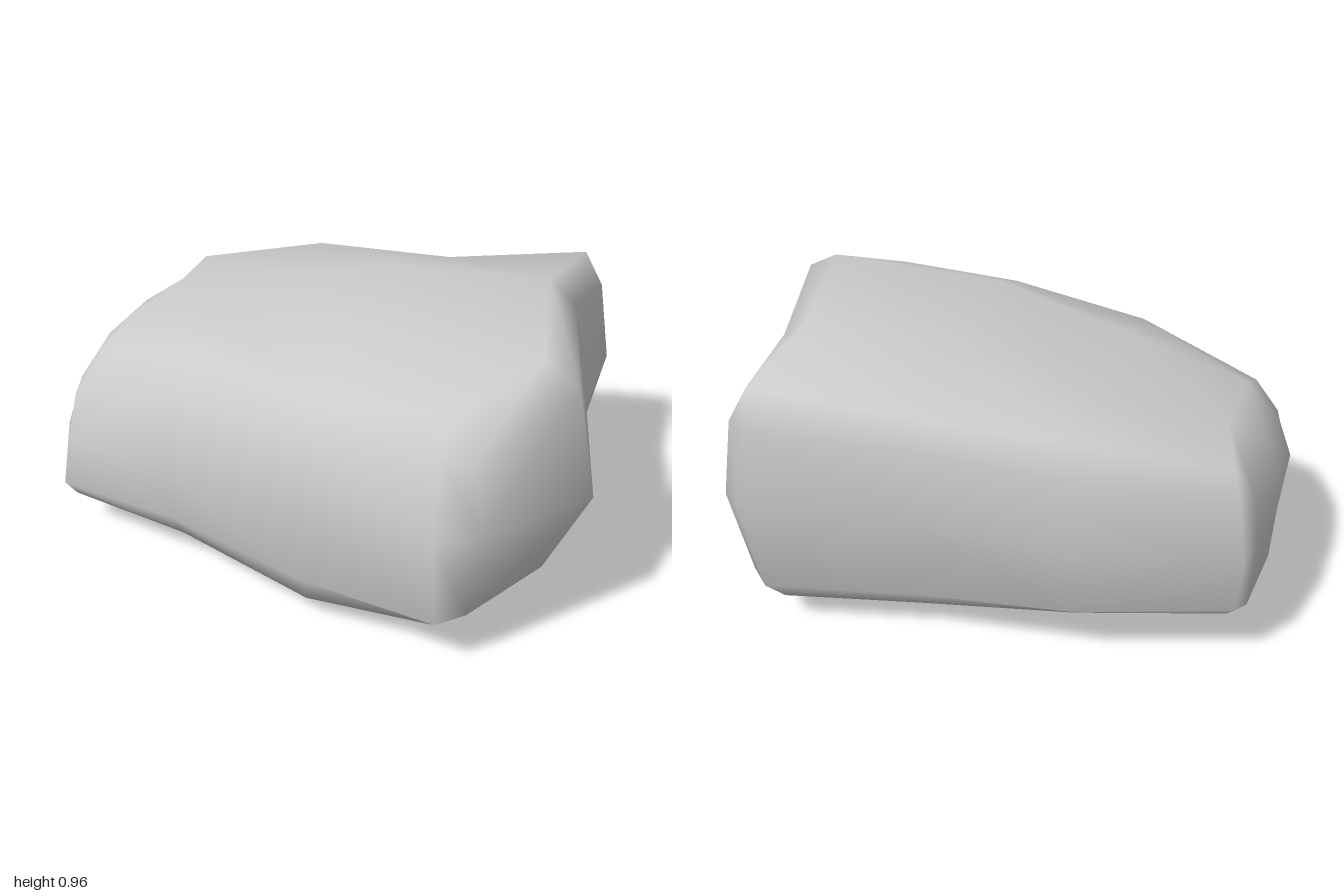
import * as THREE from 'three';

// Cross-sections along the stone, as [z, y] points.
// Order: up the front, over the top, down the back, along the underside.
// shift moves single points of a section in x.
const SECTIONS = [
  {
    x: 0.64,
    points: [
      [0.745, 0.2], [0.8, 0.53], [0.69, 0.77],
      [0.59, 0.84], [0.32, 0.955], [-0.27, 0.965], [-0.69, 0.915],
      [-0.77, 0.8], [-0.8, 0.53], [-0.76, 0.19],
      [-0.67, 0.085], [-0.26, 0.05], [0.3, 0.07], [0.67, 0.13],
    ],
    shift: { 2: -0.03, 3: -0.02, 4: 0.16, 6: 0.02, 8: 0.04, 10: -0.02, 11: -0.04, 12: 0.01, 13: -0.05 },
  },
  {
    x: 0.15,
    points: [
      [0.7, 0.18], [0.74, 0.51], [0.67, 0.72],
      [0.6, 0.81], [0.3, 0.94], [-0.24, 0.935], [-0.6, 0.84],
      [-0.665, 0.76], [-0.69, 0.51], [-0.66, 0.19],
      [-0.59, 0.1], [-0.23, 0], [0.28, 0.03], [0.66, 0.08],
    ],
    shift: {},
  },
  {
    x: -0.39,
    points: [
      [0.61, 0.21], [0.65, 0.45], [0.57, 0.67],
      [0.46, 0.78], [0.26, 0.81], [-0.23, 0.82], [-0.57, 0.82],
      [-0.635, 0.72], [-0.66, 0.47], [-0.63, 0.22],
      [-0.56, 0.16], [-0.22, 0.08], [0.25, 0.08], [0.56, 0.12],
    ],
    shift: {},
  },
  {
    x: -0.88,
    points: [
      [0.58, 0.21], [0.53, 0.36], [0.46, 0.52],
      [0.34, 0.65], [0.18, 0.72], [-0.17, 0.745], [-0.44, 0.73],
      [-0.48, 0.63], [-0.5, 0.44], [-0.48, 0.23],
      [-0.43, 0.17], [-0.17, 0.12], [0.22, 0.11], [0.52, 0.13],
    ],
    shift: { 3: 0.04, 4: 0.06, 5: 0.08, 6: 0.02, 7: -0.01, 8: -0.04, 9: -0.03 },
  },
];

// End faces: rows from bottom to top, columns from front to back.
const LEFT_END = {
  x: [[0.71, 0.85, 0.73, 0.72], [0.76, 1, 0.81, 0.78], [0.7, 0.92, 0.74, 0.73]],
  y: [[0.2, 0.2, 0.18, 0.19], [0.53, 0.54, 0.52, 0.5], [0.73, 0.89, 0.89, 0.79]],
  z: [[0.66, 0.32, -0.26, -0.68], [0.7, 0.36, -0.27, -0.7], [0.62, 0.34, -0.26, -0.7]],
};
const RIGHT_END = {
  x: [[-0.94, -0.98, -0.98, -0.94], [-0.95, -1, -0.99, -0.95], [-0.93, -0.95, -0.94, -0.92]],
  y: [[0.2, 0.21, 0.21, 0.2], [0.37, 0.45, 0.46, 0.45], [0.53, 0.61, 0.65, 0.62]],
  z: [[0.47, 0.18, -0.12, -0.4], [0.43, 0.18, -0.12, -0.4], [0.35, 0.13, -0.11, -0.38]],
};

// [row, column] of the end face that each section point meets; corners repeat.
const RIM = [
  [0, 0], [1, 0], [2, 0], [2, 0], [2, 1], [2, 2], [2, 3],
  [2, 3], [1, 3], [0, 3], [0, 3], [0, 2], [0, 1], [0, 0],
];

function stoneGeometry() {
  const positions = [], indices = [];
  const add = (x, y, z) => positions.push(x, y, z) / 3 - 1;
  const tri = (a, b, c) => {
    if (a !== b && b !== c && c !== a) indices.push(a, b, c);
  };
  const quad = (a, b, c, d) => { tri(a, b, c); tri(a, c, d); };

  const addEnd = (end) => end.x.map((row, r) => row.map((x, c) => add(x, end.y[r][c], end.z[r][c])));
  const rim = (grid) => RIM.map(([r, c]) => grid[r][c]);

  const rings = SECTIONS.map(({ x, points, shift }) =>
    points.map(([z, y], i) => add(x + (shift[i] ?? 0), y, z)));
  const left = addEnd(LEFT_END);
  const right = addEnd(RIGHT_END);

  // Skin between neighbouring loops, including the bevels to both ends
  const loops = [rim(left), ...rings, rim(right)];
  for (let k = 0; k + 1 < loops.length; k++) {
    const p = loops[k], q = loops[k + 1];
    for (let i = 0; i < p.length; i++) {
      const j = (i + 1) % p.length;
      quad(p[i], p[j], q[j], q[i]);
    }
  }

  // End faces
  for (let r = 0; r < 2; r++) {
    for (let c = 0; c < 3; c++) {
      quad(left[r][c], left[r][c + 1], left[r + 1][c + 1], left[r + 1][c]);
      quad(right[r][c], right[r + 1][c], right[r + 1][c + 1], right[r][c + 1]);
    }
  }

  const geometry = new THREE.BufferGeometry();
  geometry.setAttribute('position', new THREE.Float32BufferAttribute(positions, 3));
  geometry.setIndex(indices);
  geometry.computeVertexNormals();
  return geometry;
}

export function createModel() {
  const model = new THREE.Group();
  model.name = 'rock';
  const stone = new THREE.Mesh(stoneGeometry(), new THREE.MeshStandardMaterial({ color: 0xcccccc }));
  stone.name = 'stone';
  model.add(stone);
  return model;
}
